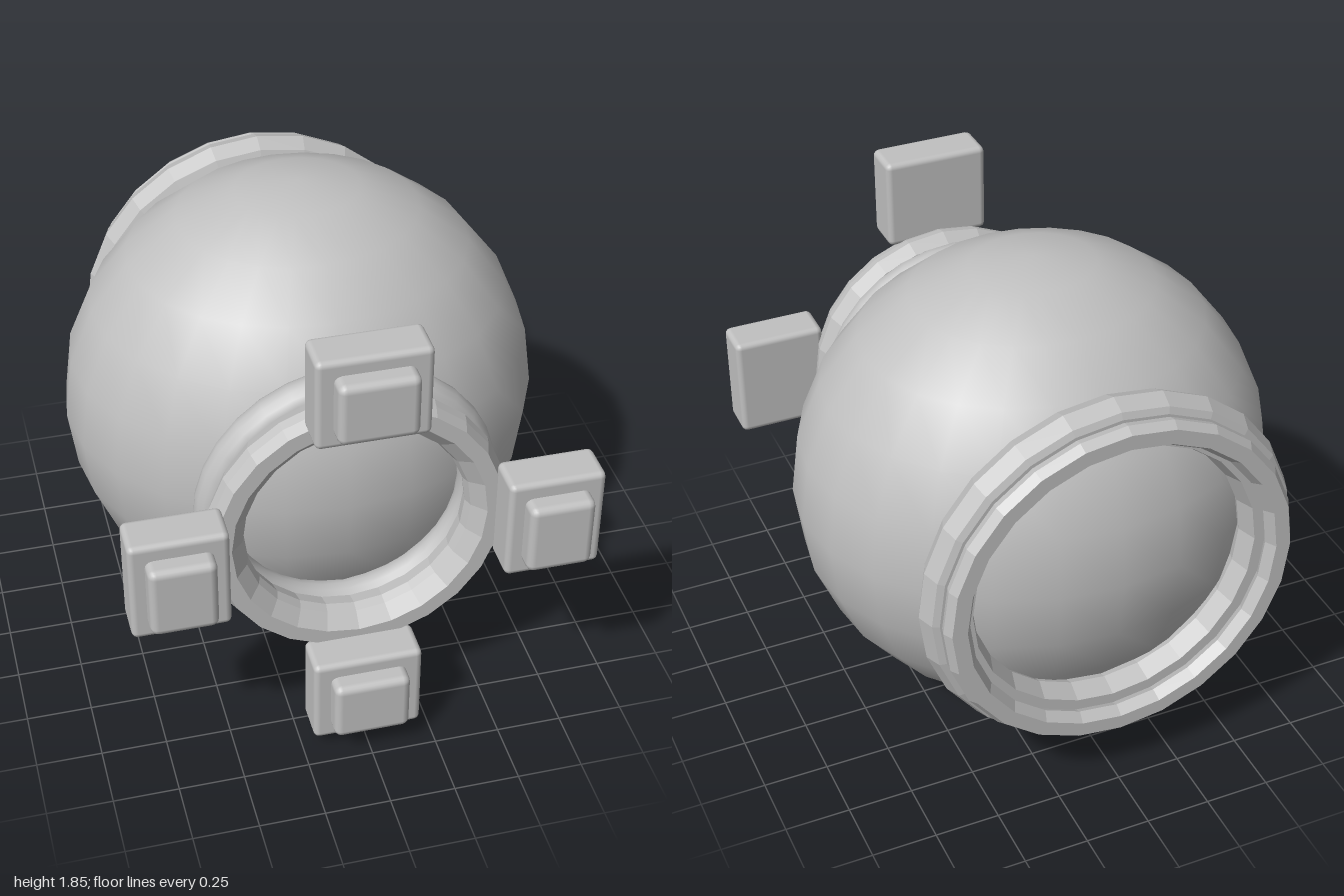
import * as THREE from 'three';
import { RoundedBoxGeometry } from 'three/addons/geometries/RoundedBoxGeometry.js';

const CENTER_Y = 0.932;

export function createModel() {
  const group = new THREE.Group();
  group.name = 'lensPod';
  const grey = new THREE.MeshStandardMaterial({ color: 0xc0c0c0 });
  grey.name = 'grey';

  const add = (name, geometry, parent = group) => {
    const mesh = new THREE.Mesh(geometry, grey);
    mesh.name = name;
    parent.add(mesh);
    return mesh;
  };

  // Faceted ring around z; the profile is a closed counterclockwise loop of [radius, z]
  const facetedRing = (name, profile) => {
    const points = [...profile, profile[0]].map(([r, z]) => new THREE.Vector2(r, z));
    const lathe = new THREE.LatheGeometry(points, 24);
    lathe.rotateX(Math.PI / 2);
    const flat = lathe.toNonIndexed();
    flat.computeVertexNormals();
    add(name, flat).position.y = CENTER_Y;
  };

  // Body: sphere slightly squashed front to back
  const body = add('body', new THREE.SphereGeometry(0.927, 24, 12));
  body.scale.z = 0.88;
  body.position.set(0, CENTER_Y, -0.17);

  // Front collar: smooth ring behind a bevelled rim
  const collar = add('frontCollar', new THREE.TorusGeometry(0.505, 0.073, 16, 32));
  collar.position.set(0, CENTER_Y, 0.57);
  facetedRing('frontRim', [
    [0.43, 0.645], [0.54, 0.645], [0.566, 0.705], [0.558, 0.74],
    [0.54, 0.785], [0.48, 0.785], [0.43, 0.735], [0.418, 0.70],
  ]);

  // Back collar: wide band and narrow end rim
  facetedRing('backBand', [
    [0.56, -0.926], [0.685, -0.926], [0.71, -0.915], [0.734, -0.85],
    [0.705, -0.787], [0.645, -0.763], [0.56, -0.78], [0.535, -0.85],
  ]);
  facetedRing('backRim', [
    [0.61, -1.0], [0.668, -1.0], [0.688, -0.965], [0.68, -0.935],
    [0.66, -0.915], [0.61, -0.915], [0.585, -0.96],
  ]);

  // Four stepped blocks around the front opening
  ['topBlock', 'leftBlock', 'bottomBlock', 'rightBlock'].forEach((name, i) => {
    const block = new THREE.Group();
    block.name = name;
    const angle = Math.PI / 2 - i * Math.PI / 2;
    block.position.set(0.694 * Math.cos(angle), CENTER_Y + 0.694 * Math.sin(angle), 0);
    block.rotation.z = angle - Math.PI / 2;
    add('blockBase', new RoundedBoxGeometry(0.418, 0.365, 0.168, 2, 0.024), block).position.z = 0.841;
    add('blockStep', new RoundedBoxGeometry(0.292, 0.248, 0.14, 2, 0.03), block).position.z = 0.93;
    group.add(block);
  });

  return group;
}
